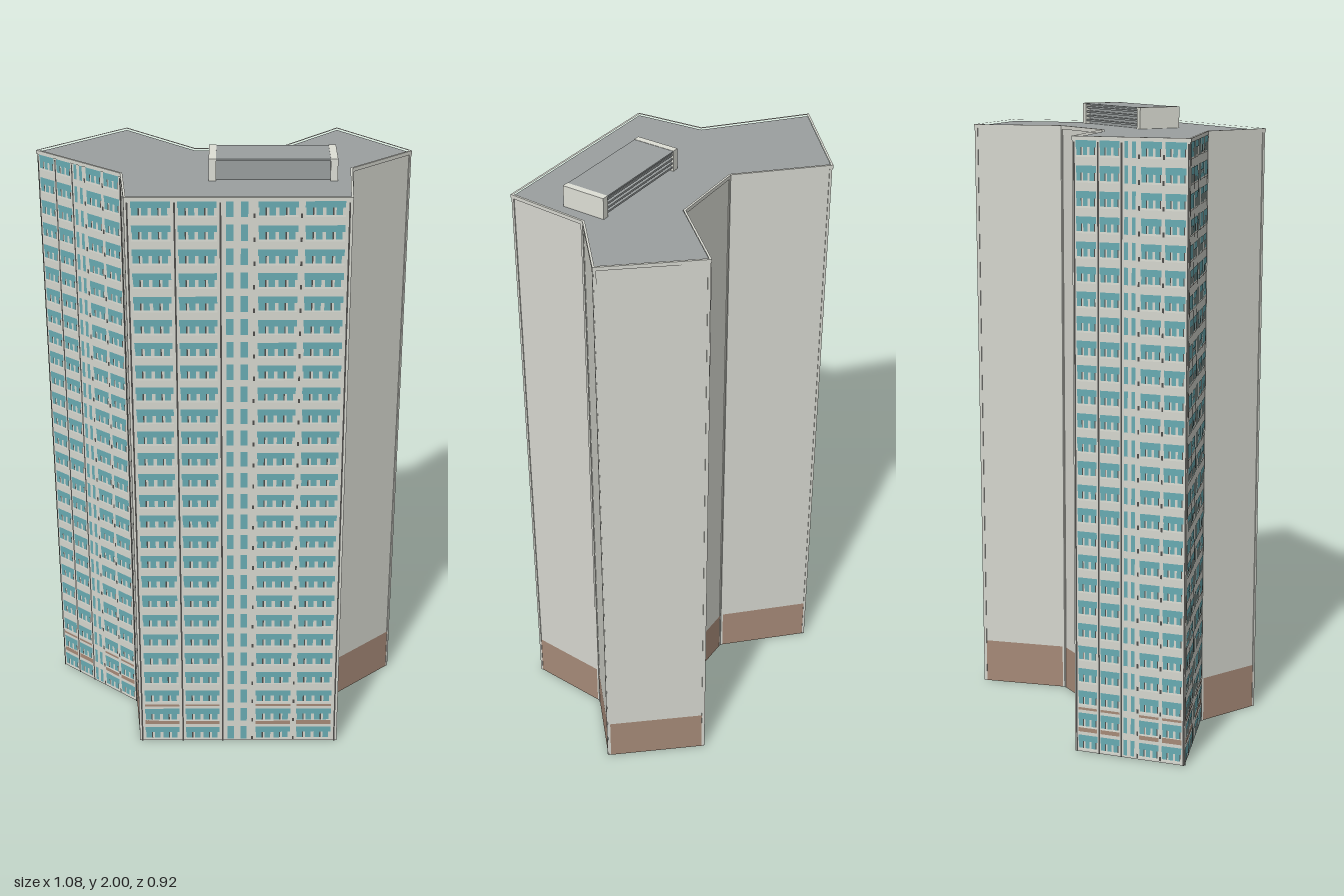
import * as THREE from 'three';
import { mergeGeometries } from 'three/addons/utils/BufferGeometryUtils.js';

const mat = (name, color) => Object.assign(new THREE.MeshStandardMaterial({ color }), { name });

export function createModel() {
  const wallMat = mat('pale concrete', 0xd6d7cf);
  const roofMat = mat('grey roofing', 0x9ba0a0);
  const baseMat = mat('brown base', 0xa68a78);
  const glassMat = mat('teal glass', 0x68abb2);
  const darkMat = mat('dark frame', 0x4e4d4a);
  const trimMat = mat('light trim', 0xdedfd6);

  const model = new THREE.Group();
  model.name = 'towerBlock';
  const ROOF = 1.932, TOP = 1.938, BASE = 0.148, FLOOR = 0.0748, FLOORS = 26;

  // Footprint corners as [x, z], running clockwise seen from above
  const outline = [
    [-0.542, -0.348], [-0.195, -0.464], [-0.075, -0.165], [0.168, -0.069], [0.435, -0.191],
    [0.539, 0.129], [0.287, 0.214], [0.165, 0.46], [-0.449, 0.194], [-0.38, -0.023],
  ];

  // Moves every edge inwards by d, with mitred corners
  const inset = (pts, d) => pts.map((p, i) => {
    const a = pts[(i + pts.length - 1) % pts.length], b = pts[(i + 1) % pts.length];
    const n1 = new THREE.Vector2(p[1] - a[1], a[0] - p[0]).normalize();
    const n2 = new THREE.Vector2(b[1] - p[1], p[0] - b[0]).normalize();
    const k = d / (1 + n1.dot(n2));
    return [p[0] - (n1.x + n2.x) * k, p[1] - (n1.y + n2.y) * k];
  });
  const toPoints = (pts) => pts.map(([x, z]) => new THREE.Vector2(x, -z));
  const slab = (pts, y0, y1, hole) => {
    const shape = new THREE.Shape(toPoints(pts));
    if (hole) shape.holes.push(new THREE.Path(toPoints(hole)));
    return new THREE.ExtrudeGeometry(shape, { depth: y1 - y0, bevelEnabled: false })
      .rotateX(-Math.PI / 2).translate(0, y0, 0);
  };
  const add = (parent, name, geo, material) => {
    const m = new THREE.Mesh(geo, material);
    m.name = name;
    parent.add(m);
    return m;
  };

  // Main body, roof deck and the slim parapet round it
  const body = inset(outline, 0.003);
  add(model, 'body', slab(body, 0, ROOF - 0.004), wallMat);
  add(model, 'roofDeck', slab(inset(outline, 0.005), ROOF - 0.006, ROOF), roofMat);
  add(model, 'parapet', slab(outline, ROOF - 0.006, TOP, inset(outline, 0.007)), wallMat);

  // Flat plate and solid strip in wall space: x along the wall, z outwards
  const plate = (x0, x1, y0, y1, z) =>
    new THREE.PlaneGeometry(x1 - x0, y1 - y0).translate((x0 + x1) / 2, (y0 + y1) / 2, z);
  const strip = (x0, x1, y0, y1, d) =>
    new THREE.BoxGeometry(x1 - x0, y1 - y0, d).translate((x0 + x1) / 2, (y0 + y1) / 2, d / 2);

  // Window facade: five bays, the middle one narrow, repeated on every floor
  const bays = [[0.026, 0.2], [0.232, 0.405], [0.438, 0.555], [0.588, 0.765], [0.795, 0.972]];
  function facade(wall, len) {
    const frames = [], glass = [], sills = [], bands = [];
    const paneCount = len > 0.5 ? 4 : 3;
    for (let f = 0; f < FLOORS; f++) {
      const y = 0.035 + f * FLOOR;
      bays.forEach(([a, b], i) => {
        const x0 = (a - 0.5) * len, x1 = (b - 0.5) * len, w = x1 - x0;
        if (i === 2) {
          // Tall stair windows
          for (const [u, v] of [[0.06, 0.34], [0.62, 0.9]]) {
            glass.push(plate(x0 + w * u, x0 + w * v, y - 0.027, y + 0.025, 0.002));
          }
          return;
        }
        // Wide upper light, with separate panes below
        glass.push(plate(x0, x1, y + 0.001, y + 0.022, 0.002));
        for (let p = 0; p < paneCount; p++) {
          const px = x0 + (w * p) / paneCount, pw = w / paneCount;
          glass.push(plate(px + pw * 0.08, px + pw * 0.72, y - 0.022, y + 0.001, 0.002));
          if (p % 2 === 0) frames.push(plate(px + pw * 0.72, px + pw * 0.86, y - 0.022, y + 0.001, 0.002));
        }
        sills.push(plate(x0, x1, y - 0.028, y - 0.022, 0.002));
        if (f === 0) {
          bands.push(plate(x0, x1, y + 0.033, y + 0.05, 0.002));
          bands.push(plate(x0, x1, y + 0.107, y + 0.115, 0.002));
        }
      });
      // Short dark brackets between the bays on the right
      for (const u of [0.571, 0.78]) {
        const x = (u - 0.5) * len;
        frames.push(plate(x - 0.003, x + 0.003, y - 0.03, y - 0.016, 0.002));
      }
    }
    // Dark downpipes at the ends and beside the second bay
    for (const u of [0.01, 0.218, 0.421, 0.99]) {
      const x = (u - 0.5) * len;
      frames.push(plate(x - 0.0025, x + 0.0025, 0, ROOF - 0.01, 0.002));
    }
    add(wall, 'windowFrames', mergeGeometries(frames), darkMat);
    add(wall, 'windowGlass', mergeGeometries(glass), glassMat);
    add(wall, 'windowSills', mergeGeometries(sills), trimMat);
    add(wall, 'brownBands', mergeGeometries(bands), baseMat);
  }

  // Blank wall: brown base between slim corner strips
  function blankWall(wall, len) {
    const h = len / 2;
    add(wall, 'base', plate(-h, h, 0, BASE, 0.0015), baseMat);
    for (const s of [-1, 1]) {
      const x = s * (h - 0.004);
      add(wall, 'cornerStrip', strip(x - 0.004, x + 0.004, 0, ROOF - 0.006, 0.003), wallMat);
    }
  }

  // One wall per side of the footprint
  const windowed = [0, 7, 9];
  body.forEach(([x0, z0], i) => {
    const [x1, z1] = body[(i + 1) % body.length];
    const wall = new THREE.Group();
    wall.position.set((x0 + x1) / 2, 0, (z0 + z1) / 2);
    wall.rotation.y = Math.atan2(z1 - z0, x0 - x1);
    const hasWindows = windowed.includes(i);
    wall.name = hasWindows ? 'windowFacade' : 'blankWall';
    (hasWindows ? facade : blankWall)(wall, Math.hypot(x1 - x0, z1 - z0));
    model.add(wall);
  });

  // Rooftop plant house with pale end walls and louvred back
  const house = new THREE.Group();
  house.name = 'plantHouse';
  house.position.set(0.05, ROOF, 0.147);
  house.rotation.y = -0.409;
  const box = (name, w, h, d, x, y, z, m) =>
    add(house, name, new THREE.BoxGeometry(w, h, d), m).position.set(x, y, z);
  box('plantCore', 0.35, 0.064, 0.116, 0, 0.032, 0, roofMat);
  box('plantRoof', 0.35, 0.005, 0.143, 0, 0.0645, 0, roofMat);
  for (const s of [-1, 1]) box('endWall', 0.022, 0.068, 0.145, s * 0.182, 0.034, 0, trimMat);
  for (let i = 0; i < 4; i++) box('louvre', 0.342, 0.006, 0.012, 0, 0.012 + i * 0.014, -0.063, roofMat);
  model.add(house);

  return model;
}
